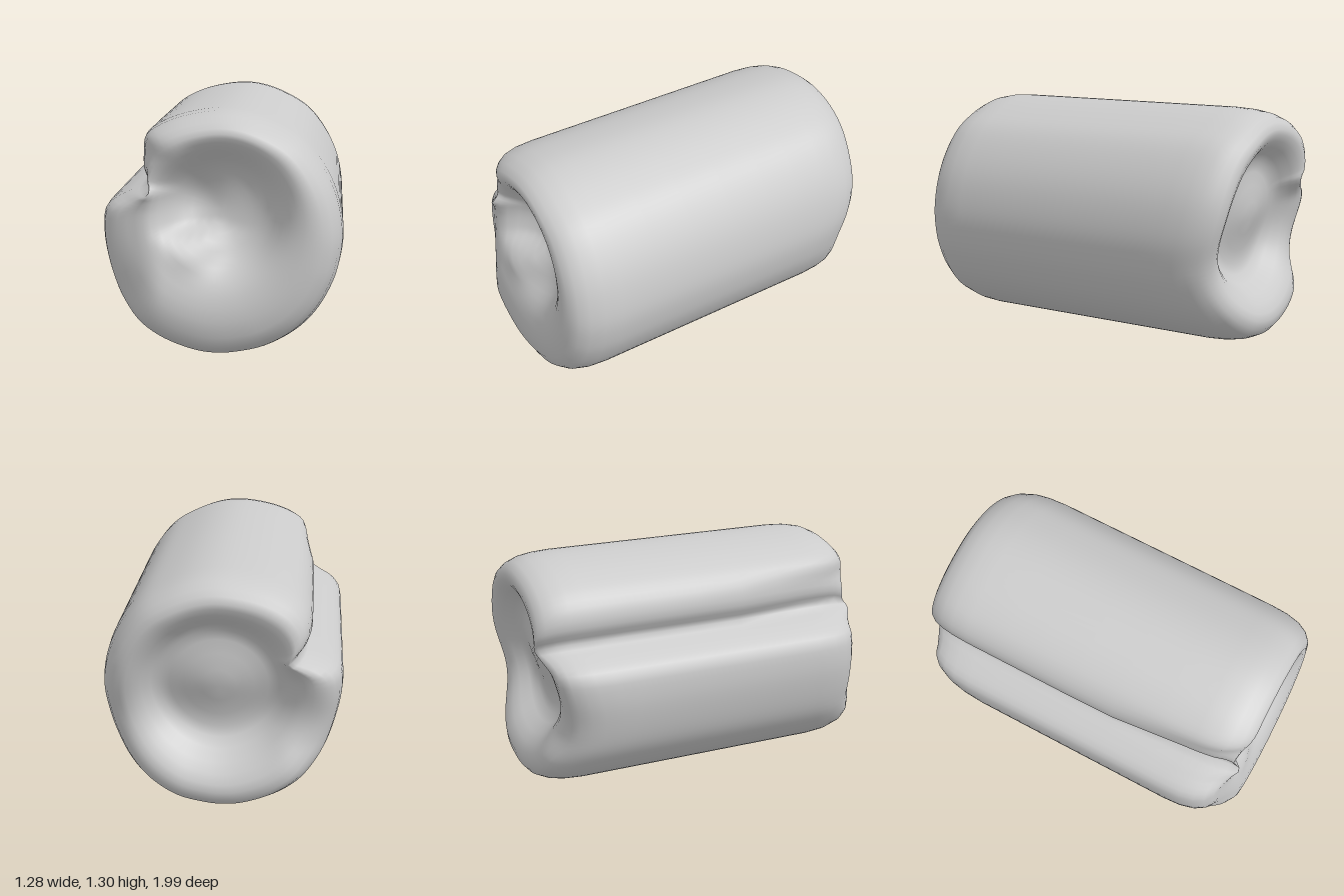
import * as THREE from 'three';
import { mergeVertices } from 'three/addons/utils/BufferGeometryUtils.js';

const { smoothstep, lerp } = THREE.MathUtils;

// Rolled outline, clockwise from the groove under the loose edge
const OUTLINE = [
  [-0.425, 0.905], [-0.47, 0.99], [-0.465, 1.08], [-0.41, 1.165], [-0.32, 1.225], [-0.2, 1.27],
  [0, 1.3], [0.14, 1.283], [0.29, 1.225], [0.42, 1.145], [0.53, 1.01], [0.605, 0.85],
  [0.638, 0.65], [0.618, 0.49], [0.585, 0.39], [0.51, 0.255], [0.405, 0.145], [0.24, 0.05], [0.1, 0.015],
  [0, 0.004], [-0.12, 0.014], [-0.3, 0.075], [-0.42, 0.152], [-0.5, 0.235], [-0.565, 0.33], [-0.614, 0.47],
  [-0.642, 0.64], [-0.63, 0.77], [-0.59, 0.81], [-0.51, 0.855],
];

// End profiles from the hollow's middle to the side: [share of outline, depth behind rim]
const FRONT = [[0, 0.2], [0.06, 0.199], [0.12, 0.197], [0.19, 0.192], [0.26, 0.184], [0.33, 0.17],
  [0.4, 0.147], [0.46, 0.115], [0.52, 0.075], [0.58, 0.04], [0.64, 0.017], [0.7, 0.004], [0.76, 0],
  [0.84, 0.01], [0.91, 0.045], [0.96, 0.1], [0.99, 0.18], [1, 0.28]];
const BACK = [[0, 0.11], [0.15, 0.12], [0.3, 0.135], [0.42, 0.145], [0.51, 0.14], [0.58, 0.105],
  [0.65, 0.055], [0.71, 0.022], [0.77, 0.004], [0.82, 0], [0.88, 0.015], [0.93, 0.05], [0.97, 0.11],
  [0.99, 0.18], [1, 0.28]];
const FRONT_CENTRE = new THREE.Vector2(0, 0.77);
const BACK_CENTRE = new THREE.Vector2(0.01, 0.69);
const ROUND_RADIUS = 0.62;
const SEGMENTS = 112;

// The rims lean, and sink where the loose edge ends
const bump = (x, y, cx, cy, rx, ry) => Math.exp(-(((x - cx) / rx) ** 2) - (((y - cy) / ry) ** 2));
const flap = (x, y) => smoothstep(-x, 0.3, 0.52) * smoothstep(0.93 - y, 0, 0.1) * smoothstep(y, 0.15, 0.4);
const lip = (x, y) => smoothstep(-x, 0.2, 0.42) * smoothstep(y, 0.86, 0.93) * (1 - smoothstep(y, 1.05, 1.2));
const frontRim = (x, y) => 0.975 - 0.05 * (y - 0.65) - 0.08 * flap(x, y) - 0.06 * lip(x, y);
function backRim(x, y) {
  const sag = 0.08 * Math.exp(-(((y - 0.48) / 0.24) ** 2));
  return -(0.995 - sag - 0.04 * smoothstep(x, 0.2, 0.6) - 0.05 * flap(x, y));
}

// Front hollow: deepest at upper left, above a fold with a steep upper edge
function innerFold(x, y) {
  const mound = bump(x, y, -0.14, 0.58, 0.17, 0.13) * (1 - smoothstep(y, 0.63, 0.71));
  return 0.08 * mound - 0.06 * bump(x, y, -0.14, 0.83, 0.15, 0.15);
}

function createRollGeometry() {
  const curve = new THREE.CatmullRomCurve3(
    OUTLINE.map(([x, y]) => new THREE.Vector3(x, y, 0)), true, 'centripetal');
  const outline = curve.getSpacedPoints(SEGMENTS).slice(0, SEGMENTS)
    .map((p) => new THREE.Vector2(p.x, p.y));
  const positions = [];
  const index = [];
  let rings = 0;

  // Inner rings turn round, so the groove fades; the lip draws in towards the front
  const addRing = (k, centre, zAt) => {
    for (const p of outline) {
      const round = p.clone().sub(centre).setLength(ROUND_RADIUS).add(centre);
      round.lerp(p, smoothstep(k, 0.5, 0.92));
      const x = lerp(centre.x, round.x, k);
      const y = lerp(centre.y, round.y, k);
      const z = zAt(x, y);
      positions.push(x + 0.05 * lip(x, y) * smoothstep(z, 0.1, 0.75) * smoothstep(k, 0.7, 0.95), y, z);
    }
    rings++;
  };

  // Front end, straight side, back end
  for (const [k, depth] of FRONT) {
    addRing(k, FRONT_CENTRE, (x, y) => frontRim(x, y) - depth + innerFold(x, y) * (1 - smoothstep(k, 0.45, 0.65)));
  }
  for (const z of [0.45, 0.2, -0.05, -0.3, -0.5]) {
    addRing(1, FRONT_CENTRE, () => z);
  }
  for (const [k, depth] of [...BACK].reverse()) {
    addRing(k, BACK_CENTRE, (x, y) => backRim(x, y) + depth);
  }

  // Skin between neighbouring rings
  for (let j = 0; j < rings - 1; j++) {
    for (let i = 0; i < SEGMENTS; i++) {
      const next = (i + 1) % SEGMENTS;
      const a = j * SEGMENTS + i;
      const b = j * SEGMENTS + next;
      const c = a + SEGMENTS;
      const d = b + SEGMENTS;
      index.push(a, b, c, b, d, c);
    }
  }

  let geometry = new THREE.BufferGeometry();
  geometry.setAttribute('position', new THREE.Float32BufferAttribute(positions, 3));
  geometry.setIndex(index);
  geometry = mergeVertices(geometry, 1e-5);
  geometry.computeVertexNormals();
  return geometry;
}

export function createModel() {
  const group = new THREE.Group();
  group.name = 'rolledBedding';
  const material = new THREE.MeshStandardMaterial({ color: 0xcccccc });
  const roll = new THREE.Mesh(createRollGeometry(), material);
  roll.name = 'roll';
  group.add(roll);
  return group;
}
